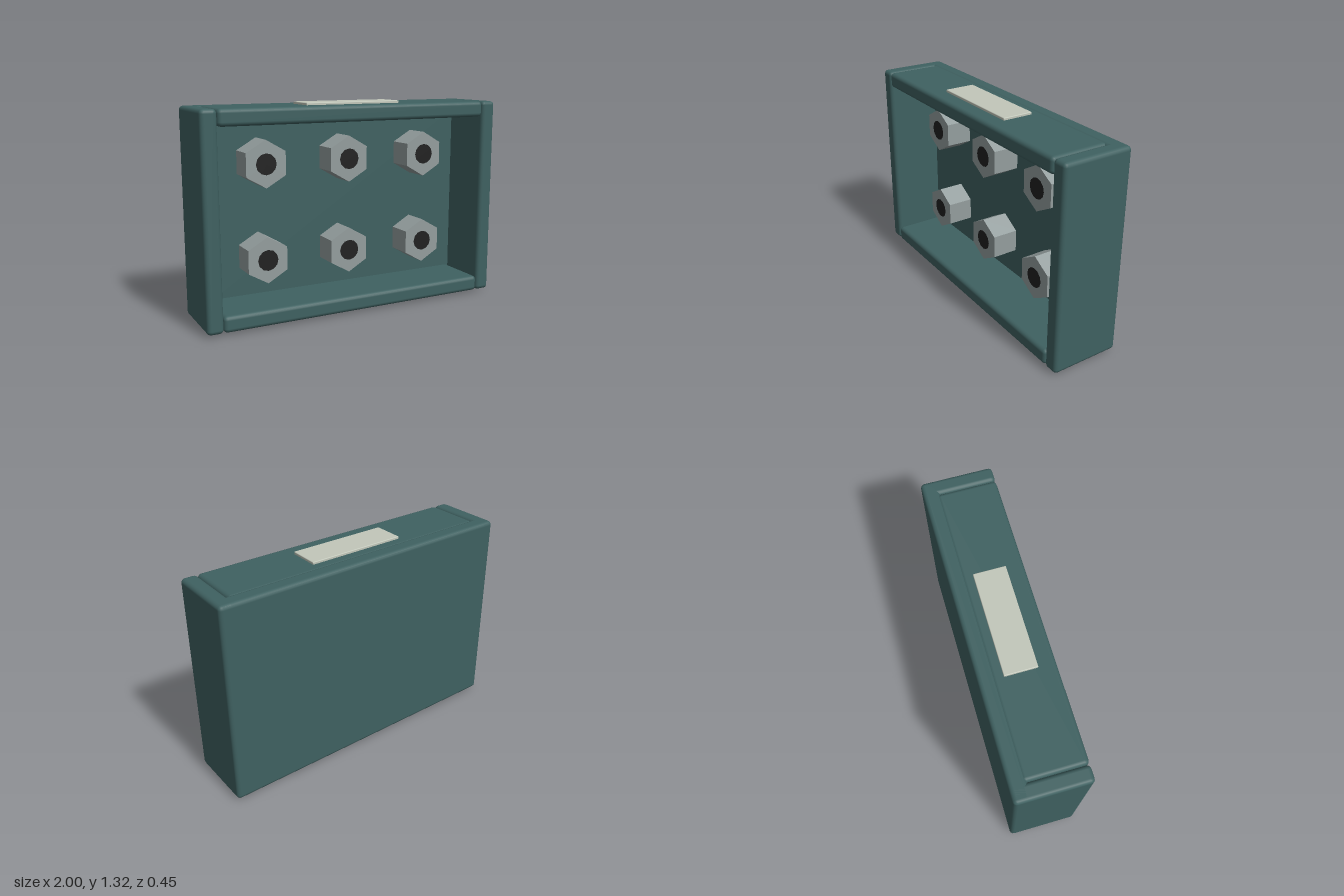
import * as THREE from 'three';
import { RoundedBoxGeometry } from 'three/addons/geometries/RoundedBoxGeometry.js';

const mat = (name, color) => {
  const m = new THREE.MeshStandardMaterial({ color });
  m.name = name;
  return m;
};

export function createModel() {
  const model = new THREE.Group();
  model.name = 'trayWithNuts';
  const teal = mat('dark teal', 0x3f6161);
  const steel = mat('steel grey', 0x949e9e);
  const black = mat('bore black', 0x212121);
  const cream = mat('pale cream', 0xc2c7ba);

  const add = (name, geometry, material, x, y, z) => {
    const mesh = new THREE.Mesh(geometry, material);
    mesh.name = name;
    mesh.position.set(x, y, z);
    model.add(mesh);
    return mesh;
  };
  // Soft-edged box given by its min and max corners
  const slab = (name, material, [x0, y0, z0], [x1, y1, z1], radius) =>
    add(name, new RoundedBoxGeometry(x1 - x0, y1 - y0, z1 - z0, 2, radius), material,
      (x0 + x1) / 2, (y0 + y1) / 2, (z0 + z1) / 2);

  // Tray: back panel, two full-height side walls, two rails between them
  const bottom = 0.015, top = 1.305, back = -0.223, front = 0.223, bevel = 0.025;
  slab('backPanel', teal, [-1, bottom, back], [1, top, -0.12], bevel);
  slab('rightWall', teal, [-1, bottom, back], [-0.9, top, front], bevel);
  slab('leftWall', teal, [0.9, bottom, back], [1, top, front], bevel);
  slab('topRail', teal, [-0.9, top - 0.1, -0.147], [0.9, top, front], bevel);
  slab('bottomRail', teal, [-0.9, bottom, -0.147], [0.9, bottom + 0.1, front], bevel);

  // Pale pads, sunk slightly into the rails
  slab('topPad', cream, [-0.32, top - 0.01, -0.078], [0.32, 1.32, 0.118], 0.005);
  slab('bottomPad', cream, [-0.32, 0, -0.078], [0.32, bottom + 0.01, 0.118], 0.005);

  // Six hexagonal nuts with dark bores, points up and down
  const nutFront = 0.05, nutBack = -0.13;
  const nutGeometry = new THREE.CylinderGeometry(0.146, 0.146, nutFront - nutBack, 6)
    .rotateX(Math.PI / 2).toNonIndexed();
  nutGeometry.computeVertexNormals();
  const boreGeometry = new THREE.CircleGeometry(0.066, 12);
  for (const y of [0.37, 0.96]) {
    for (const x of [-0.557, 0, 0.557]) {
      add('nut', nutGeometry, steel, x, y, (nutFront + nutBack) / 2);
      add('nutBore', boreGeometry, black, x, y, nutFront + 0.003);
    }
  }
  return model;
}
